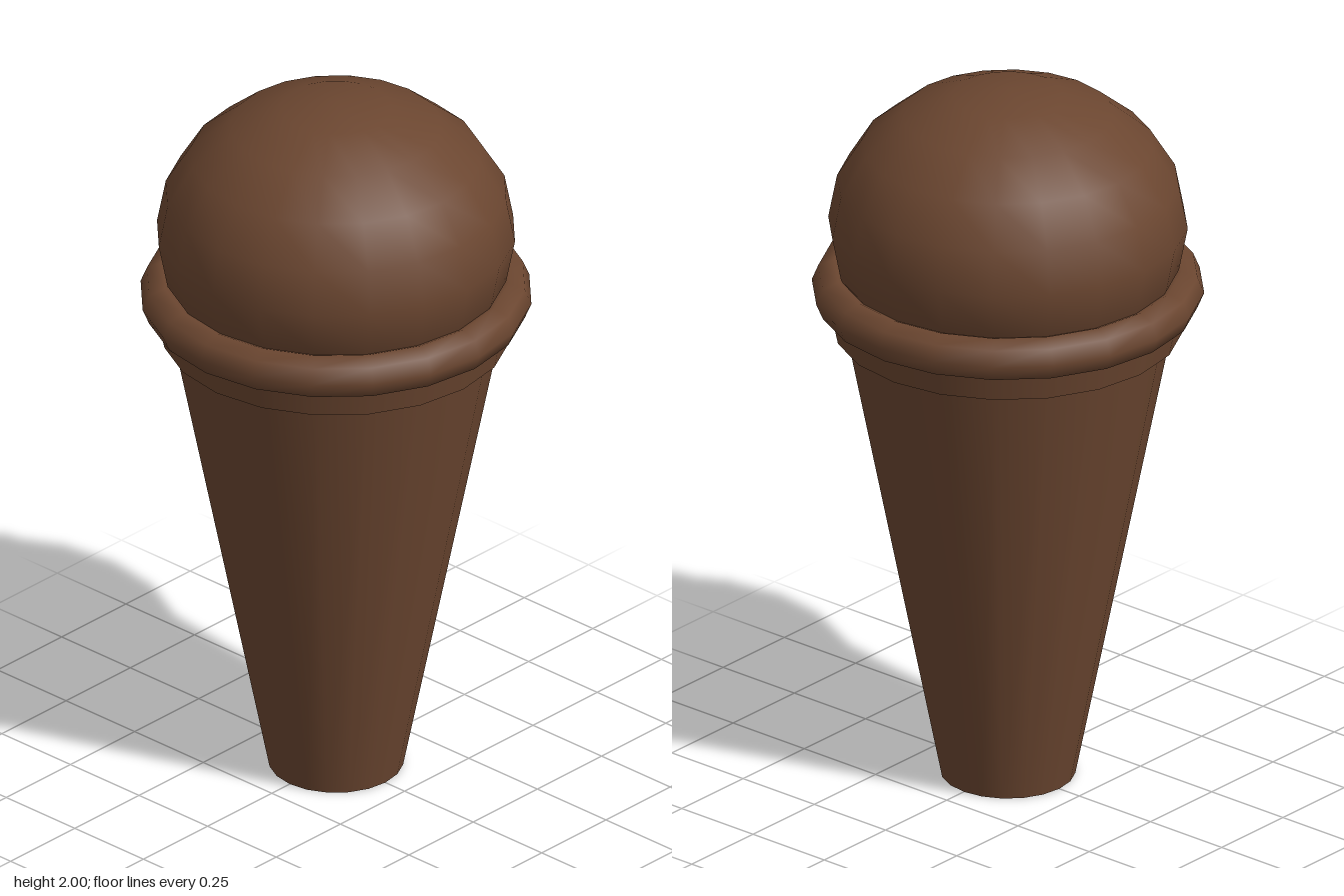
import * as THREE from 'three';

const SIDES = 20;

export function createModel() {
  const model = new THREE.Group();
  const brown = new THREE.MeshStandardMaterial({ color: 0x6b4630 });
  brown.name = 'chocolate brown';

  const add = (name, geometry, y) => {
    const mesh = new THREE.Mesh(geometry, brown);
    mesh.name = name;
    mesh.position.y = y;
    model.add(mesh);
    return mesh;
  };

  // tapered cone with a flat foot
  add('cone', new THREE.CylinderGeometry(0.448, 0.18, 1.36, SIDES), 0.68);

  // flared collar around the top of the cone
  add('collar', new THREE.CylinderGeometry(0.49, 0.465, 0.12, SIDES), 1.36);

  // rounded rim
  const rim = new THREE.TorusGeometry(0.464, 0.06, 8, SIDES);
  rim.rotateX(Math.PI / 2);
  add('rim', rim, 1.42);

  // slightly squashed scoop
  const scoop = new THREE.SphereGeometry(0.48, SIDES, 10);
  scoop.scale(1, 0.82, 1);
  add('scoop', scoop, 2 - 0.48 * 0.82);

  return model;
}
